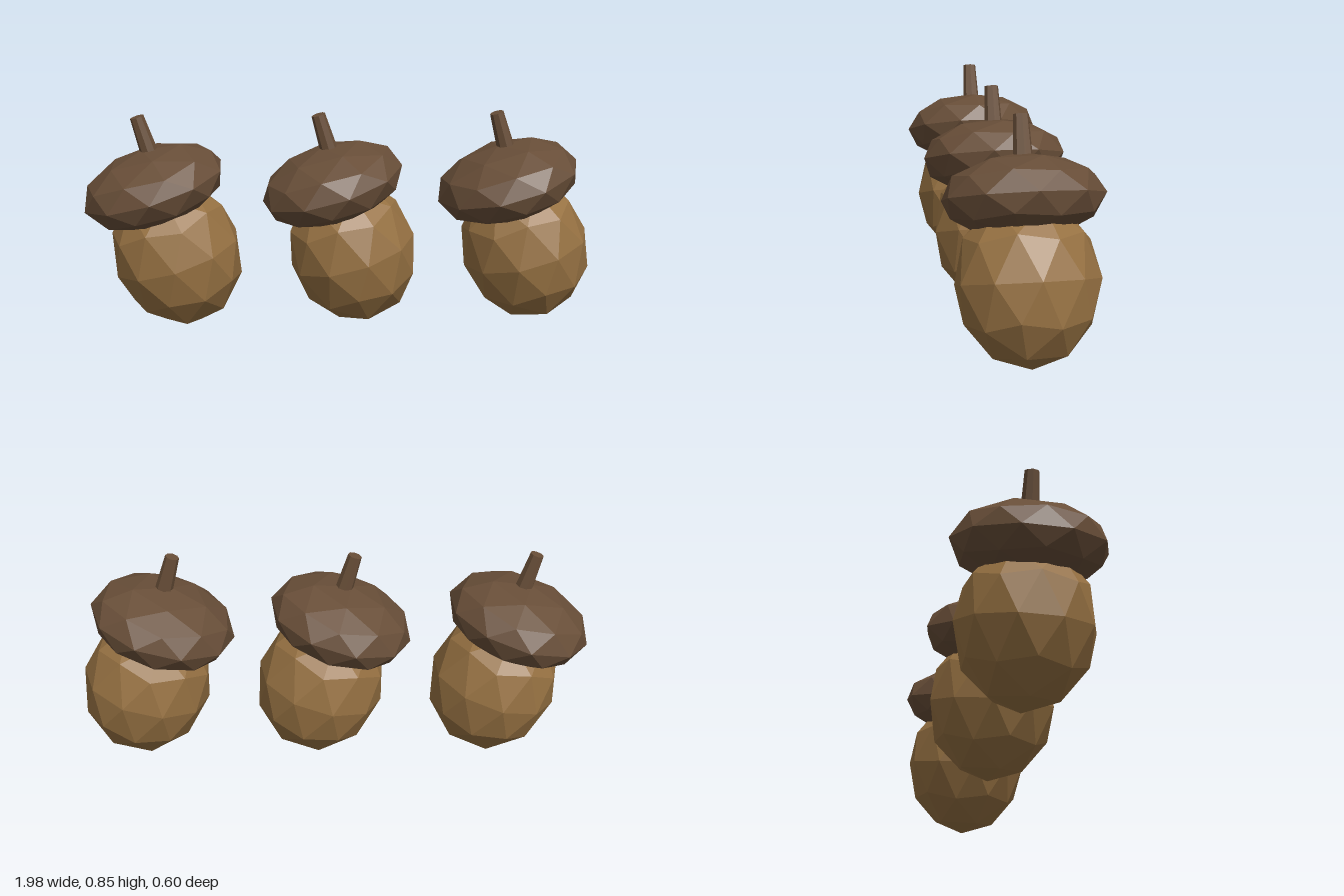
import * as THREE from 'three';

const nutBrown = new THREE.MeshStandardMaterial({ color: 0x967142, flatShading: true });
nutBrown.name = 'nutBrown';
const capBrown = new THREE.MeshStandardMaterial({ color: 0x684e38, flatShading: true });
capBrown.name = 'capBrown';

const TILT = 0.285;

// Low-poly ellipsoid with a vertex at each pole, turned by spin about its axis
function facetedEllipsoid(radius, halfHeight, spin) {
  return new THREE.IcosahedronGeometry(1, 1)
    .rotateZ(-Math.atan(2 / (1 + Math.sqrt(5))))
    .rotateY(spin)
    .scale(radius, halfHeight, radius);
}

function part(name, geometry, material, x, y) {
  const mesh = new THREE.Mesh(geometry, material);
  mesh.name = name;
  mesh.position.set(x, y, 0);
  return mesh;
}

// One acorn, its axis upright and its nut centred on the origin
function createAcorn(spin) {
  const acorn = new THREE.Group();
  acorn.add(
    part('nut', facetedEllipsoid(0.255, 0.3, spin), nutBrown, 0, 0),
    part('cap', facetedEllipsoid(0.287, 0.15, spin), capBrown, 0, 0.29),
    part('stem', new THREE.CylinderGeometry(0.027, 0.037, 0.19, 8), capBrown, 0.027, 0.475)
  );
  return acorn;
}

export function createModel() {
  const model = new THREE.Group();
  model.name = 'acorns';
  // Three leaning acorns in a row, each turned a little further
  for (let i = 0; i < 3; i++) {
    const acorn = createAcorn(i * Math.PI / 20);
    acorn.name = ['rightAcorn', 'middleAcorn', 'leftAcorn'][i];
    acorn.position.set(-0.652 + i * 0.697, 0.295, (i - 1) * 0.022);
    acorn.rotation.z = TILT;
    model.add(acorn);
  }
  return model;
}
